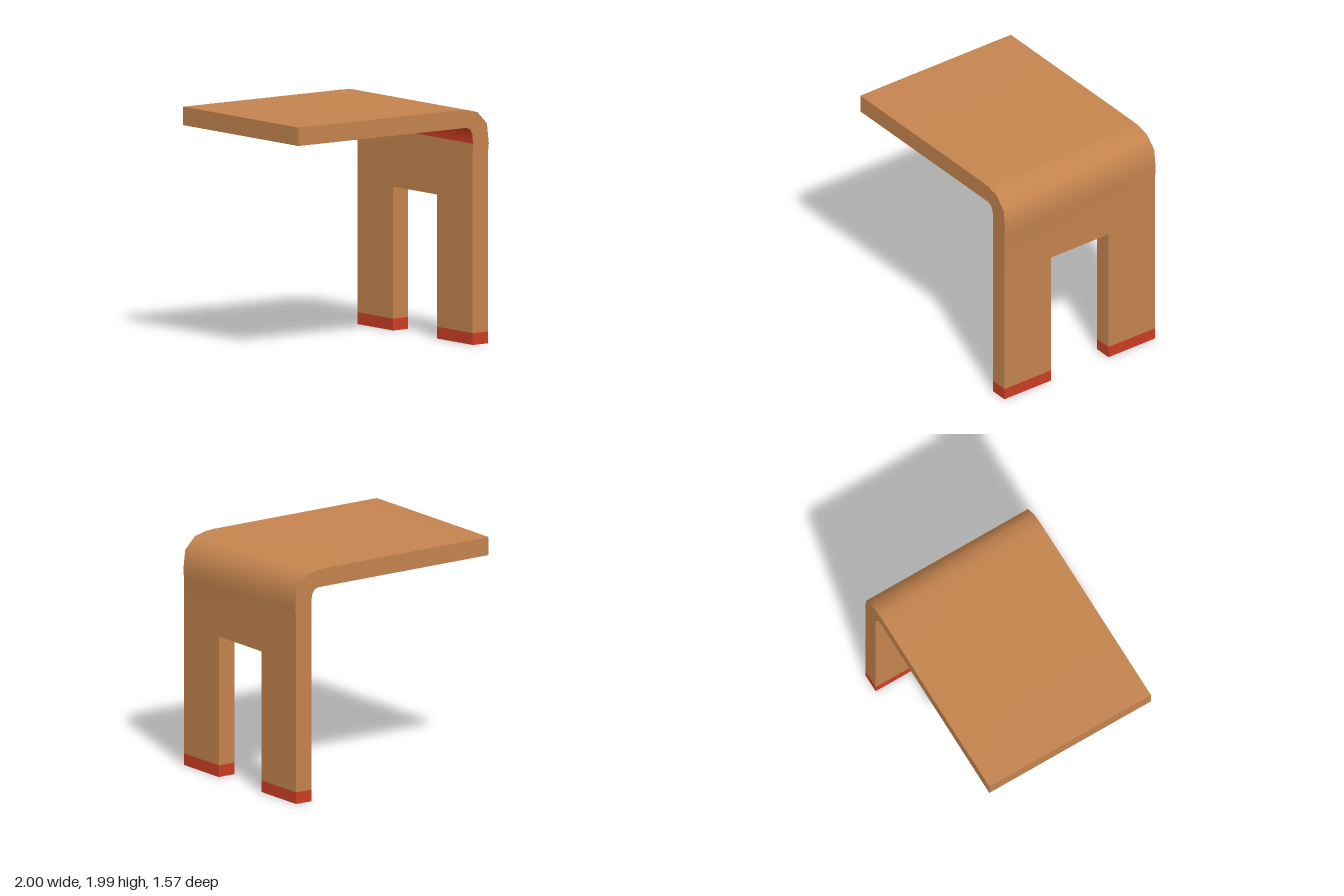
import * as THREE from 'three';
import { toCreasedNormals } from 'three/addons/utils/BufferGeometryUtils.js';

const DEPTH = 1.57, LEG_IN = 0.83, LEG_OUT = 0.99, LEG_TOP = 1.21, FOOT = 0.1;

export function createModel() {
  const group = new THREE.Group();
  const wood = new THREE.MeshStandardMaterial({ color: 0xc4844e });
  wood.name = 'warm wood';
  const red = new THREE.MeshStandardMaterial({ color: 0xcc3e24 });
  red.name = 'red';

  // Bent board: flat top, rounded corner, upper part of the upright
  const profile = [
    [-1, 1.83], [0.765, 1.83], [0.805, 1.812], [0.827, 1.77], [0.834, 1.69], [LEG_IN, 1.59],
    [LEG_IN, LEG_TOP], [LEG_OUT, LEG_TOP], [LEG_OUT, 1.59], [1, 1.68], [0.98, 1.85],
    [0.88, 1.953], [0.77, 1.98], [0.68, 1.985], [-1, 1.985],
  ].map(([x, y]) => new THREE.Vector2(x, y));
  let board = new THREE.ExtrudeGeometry(new THREE.Shape(profile), { depth: DEPTH, bevelEnabled: false });
  board.translate(0, 0, -DEPTH / 2);
  board = toCreasedNormals(board, THREE.MathUtils.degToRad(48));

  // Red lining on the inside of the bend, set by face position
  const pos = board.attributes.position;
  board.clearGroups();
  for (let i = 0; i < pos.count; i += 3) {
    let inner = true, zMin = Infinity, zMax = -Infinity;
    for (let k = i; k < i + 3; k++) {
      const x = pos.getX(k), y = pos.getY(k);
      inner = inner && x > 0.76 && x < 0.836 && y > 1.68 && y < 1.835;
      zMin = Math.min(zMin, pos.getZ(k));
      zMax = Math.max(zMax, pos.getZ(k));
    }
    board.addGroup(i, 3, inner && zMax - zMin > 0.1 ? 1 : 0);
  }
  const top = new THREE.Mesh(board, [wood, red]);
  top.name = 'bentBoard';
  group.add(top);

  // Two legs with red feet
  const block = (name, mat, y0, y1, z) => {
    const mesh = new THREE.Mesh(new THREE.BoxGeometry(LEG_OUT - LEG_IN, y1 - y0, 0.485), mat);
    mesh.position.set((LEG_IN + LEG_OUT) / 2, (y0 + y1) / 2, z);
    mesh.name = name;
    group.add(mesh);
  };
  for (const [side, s] of [['front', 1], ['back', -1]]) {
    block(side + 'Leg', wood, FOOT, LEG_TOP, s * 0.5425);
    block(side + 'Foot', red, 0, FOOT, s * 0.5425);
  }
  return group;
}
